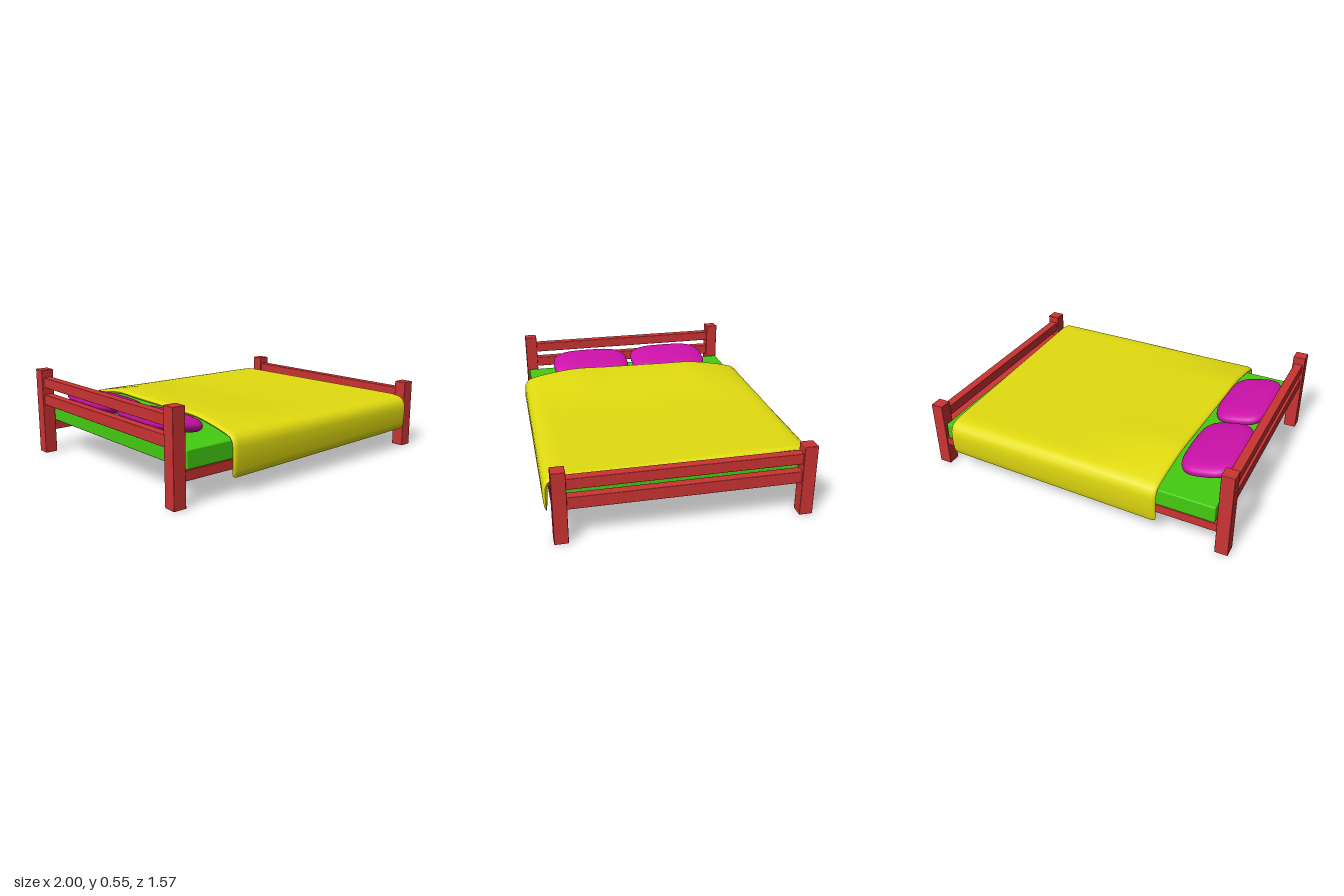
import * as THREE from 'three';
import { RoundedBoxGeometry } from 'three/addons/geometries/RoundedBoxGeometry.js';

const mat = (color) => {
  const m = new THREE.MeshStandardMaterial();
  m.color.set(color);
  return m;
};
const wood = mat(0xcc3333), green = mat(0x44cc11), yellow = mat(0xe2dc10), magenta = mat(0xcc11aa);
const { lerp, smoothstep } = THREE.MathUtils;

// Softly bevelled box given by its min / max on each axis
function block(name, material, [x0, x1], [y0, y1], [z0, z1], bevel = 0.004) {
  const geo = new RoundedBoxGeometry(x1 - x0, y1 - y0, z1 - z0, 2, bevel);
  const mesh = new THREE.Mesh(geo, material);
  mesh.name = name;
  mesh.position.set((x0 + x1) / 2, (y0 + y1) / 2, (z0 + z1) / 2);
  return mesh;
}

// Two posts joined by two cross rails; side is -1 for the head, +1 for the foot
function endFrame(name, side, height, rails) {
  const group = new THREE.Group();
  group.name = name;
  const span = (a, b) => (side > 0 ? [a, b] : [-b, -a]);
  group.add(block('postLeft', wood, span(0.92, 1), [0, height], [0.665, 0.745]));
  group.add(block('postRight', wood, span(0.92, 1), [0, height], [-0.745, -0.665]));
  for (const y of rails) group.add(block('crossRail', wood, span(0.932, 0.988), y, [-0.69, 0.69]));
  return group;
}

// Cushion: a sphere squared off by signed powers
function pillow(name, z) {
  const geo = new THREE.SphereGeometry(1, 40, 28);
  const p = geo.attributes.position;
  const soft = (v, e) => Math.sign(v) * Math.abs(v) ** e;
  for (let i = 0; i < p.count; i++) {
    const x = p.getX(i), y = p.getY(i), w = p.getZ(i);
    const r = Math.hypot(x, w) || 1;
    const c = x / r, s = w / r;
    const rim = r ** 0.6; // blunt edge
    p.setXYZ(i, 0.175 * rim * soft(c, 0.6), 0.052 * soft(y, 0.85), 0.275 * rim * soft(s, 0.6));
  }
  geo.computeVertexNormals();
  const mesh = new THREE.Mesh(geo, magenta);
  mesh.name = name;
  mesh.position.set(-0.757, 0.372, z);
  mesh.rotation.z = -0.2;
  return mesh;
}

// Blanket: a thick draped profile swept along x, puffed up towards the pillows
function blanket() {
  const N = 90, H = 0.016;
  const stations = [0, 0.002, 0.006, 0.012, 0.02];
  for (let u = 0.06; u < 0.95; u += 0.055) stations.push(u);
  stations.push(0.98, 0.988, 0.994, 0.998, 1);
  const pos = [], index = [], ring = 2 * (N + 1);

  for (const u of stations) {
    const edge = Math.min(1, Math.min(u, 1 - u) / 0.02);
    const round = Math.sqrt(1 - (1 - edge) ** 2);
    const hem = lerp(0.105, 0.137, u) + 0.02 * (1 - round);
    const lift = 0.045 * (1 - smoothstep(u, 0.03, 0.5));
    const top = (z) => 0.344 + lift * (1 - smoothstep(z, 0.42, 0.76));
    const half = [
      [0.768, hem], [0.77, 0.18], [0.77, 0.25], [0.766, 0.3], [0.748, 0.328],
      [0.7, top(0.7) - 0.003], [0.58, top(0.58)], [0.42, top(0.42)], [0.2, top(0.2)],
    ];
    const path = [
      ...half.map(([z, y]) => new THREE.Vector3(0, y, z)),
      new THREE.Vector3(0, top(0), 0),
      ...half.map(([z, y]) => new THREE.Vector3(0, y, -z)).reverse(),
    ];
    const curve = new THREE.CatmullRomCurve3(path);
    const outer = [], inner = [];
    for (let j = 0; j <= N; j++) {
      const s = j / N;
      const q = curve.getPointAt(s), t = curve.getTangentAt(s);
      const h = H * round * Math.min(1, Math.sqrt(Math.min(s, 1 - s) / 0.06));
      // the ends run slightly askew
      const k = (q.z + 0.78) / 1.56;
      const x = lerp(lerp(-0.565, -0.625, k), lerp(0.845, 0.89, k), u);
      outer.push([x, q.y - t.z * h, q.z + t.y * h]);
      inner.push([x, q.y + t.z * h, q.z - t.y * h]);
    }
    pos.push(...outer.flat(), ...inner.reverse().flat());
  }
  for (let i = 0; i < stations.length - 1; i++) {
    for (let j = 0; j < ring; j++) {
      const a = i * ring + j, b = i * ring + (j + 1) % ring;
      index.push(a, a + ring, b, b, a + ring, b + ring);
    }
  }
  const geo = new THREE.BufferGeometry();
  geo.setAttribute('position', new THREE.Float32BufferAttribute(pos, 3));
  geo.setIndex(index);
  geo.computeVertexNormals();
  const mesh = new THREE.Mesh(geo, yellow);
  mesh.name = 'blanket';
  return mesh;
}

export function createModel() {
  const bed = new THREE.Group();
  bed.name = 'bed';

  // Frame
  bed.add(endFrame('headboard', -1, 0.55, [[0.436, 0.5], [0.322, 0.39]]));
  bed.add(endFrame('footboard', 1, 0.436, [[0.325, 0.39], [0.205, 0.278]]));
  bed.add(block('sideRailLeft', wood, [-0.93, 0.93], [0.145, 0.202], [0.68, 0.738]));
  bed.add(block('sideRailRight', wood, [-0.93, 0.93], [0.145, 0.202], [-0.738, -0.68]));

  // Bedding
  bed.add(block('mattress', green, [-0.905, 0.91], [0.202, 0.31], [-0.737, 0.732], 0.008));
  bed.add(pillow('pillowLeft', 0.281));
  bed.add(pillow('pillowRight', -0.302));
  bed.add(blanket());
  return bed;
}
